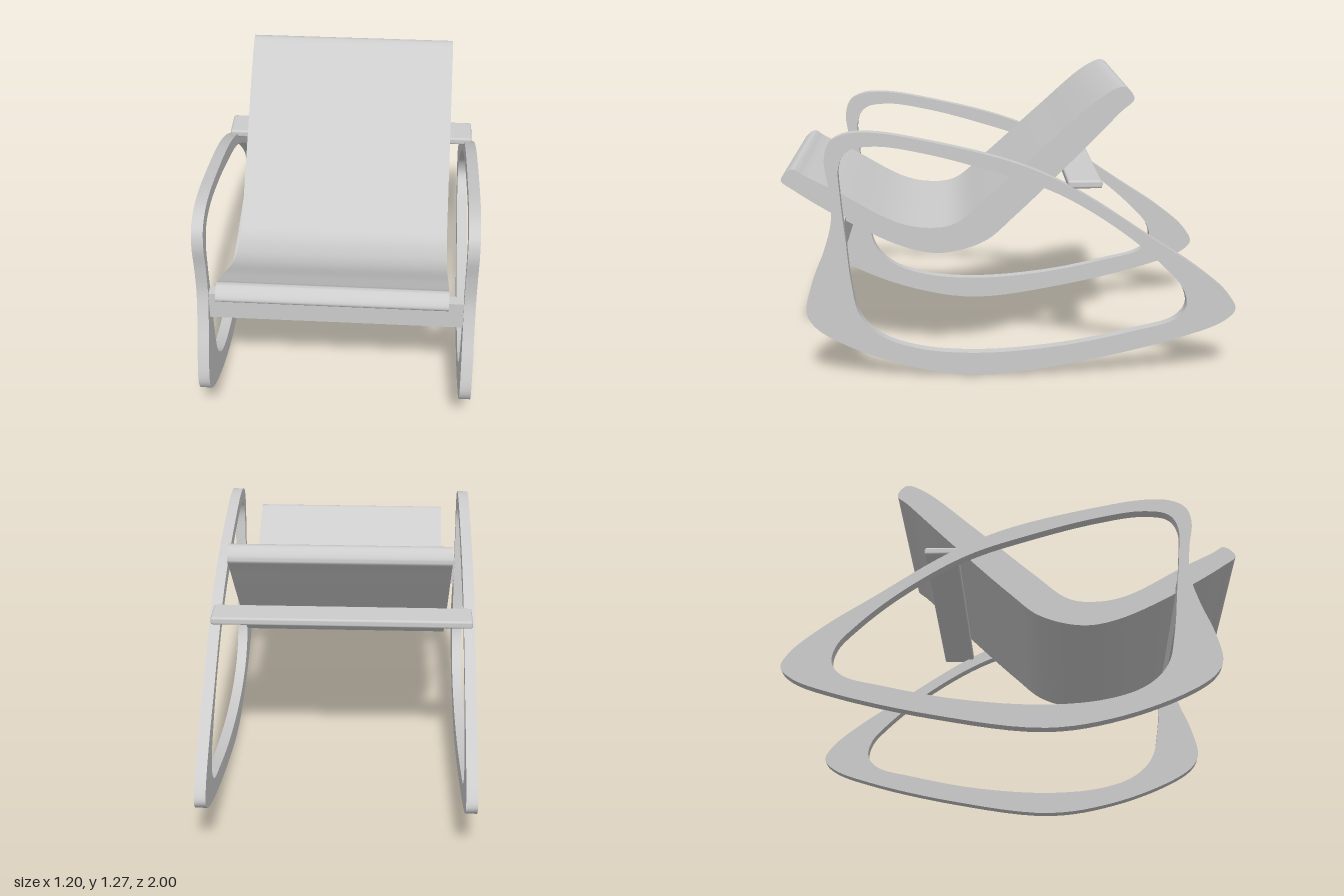
import * as THREE from 'three';
import { toCreasedNormals } from 'three/addons/utils/BufferGeometryUtils.js';
import { RoundedBoxGeometry } from 'three/addons/geometries/RoundedBoxGeometry.js';

// Closed smooth outline through [z, y] points
function smoothLoop(points, divisions) {
  const curve = new THREE.CatmullRomCurve3(
    points.map(([z, y]) => new THREE.Vector3(z, y, 0)), true, 'centripetal');
  return curve.getPoints(divisions).slice(0, -1).map(p => new THREE.Vector2(p.x, p.y));
}

// Side profile extruded across x, centred on x = 0
function extrudeAcross(shape, width) {
  const geo = new THREE.ExtrudeGeometry(shape, { depth: width, bevelEnabled: false });
  geo.translate(0, 0, -width / 2);
  geo.rotateY(-Math.PI / 2);
  return toCreasedNormals(geo, 0.7);
}

export function createModel() {
  const chair = new THREE.Group();
  chair.name = 'rockingChair';
  const grey = new THREE.MeshStandardMaterial({ color: 0xcccccc });
  grey.name = 'lightGrey';

  const add = (name, geo, x = 0, y = 0, z = 0) => {
    const mesh = new THREE.Mesh(geo, grey);
    mesh.name = name;
    mesh.position.set(x, y, z);
    chair.add(mesh);
  };

  // Side frames: rocker, front post and armrest in one continuous loop
  const outer = [
    [0.14, 0], [0.46, 0.05], [0.75, 0.16], [0.86, 0.235], [0.893, 0.30], [0.866, 0.435],
    [0.81, 0.58], [0.775, 0.715], [0.78, 0.85], [0.797, 0.98], [0.775, 1.055],
    [0.71, 1.093], [0.59, 1.10], [0.33, 1.055], [0.03, 0.98], [-0.155, 0.91],
    [-0.34, 0.81], [-0.61, 0.63], [-0.82, 0.49], [-0.965, 0.365], [-1, 0.295],
    [-0.95, 0.24], [-0.77, 0.17], [-0.34, 0.065]];
  const inner = [
    [0.14, 0.105], [0.41, 0.13], [0.57, 0.19], [0.66, 0.285], [0.695, 0.435],
    [0.715, 0.635], [0.733, 0.82], [0.735, 0.955], [0.695, 1.02], [0.58, 1.04],
    [0.38, 1.01], [0.085, 0.93], [-0.21, 0.825], [-0.50, 0.645], [-0.69, 0.48],
    [-0.765, 0.39], [-0.78, 0.31], [-0.73, 0.25], [-0.555, 0.20], [-0.235, 0.135]];
  const frame = new THREE.Shape(smoothLoop(outer, 144));
  frame.holes.push(new THREE.Path(smoothLoop(inner, 120)));
  const frameGeo = extrudeAcross(frame, 0.05);
  add('leftSideFrame', frameGeo, 0.575);
  add('rightSideFrame', frameGeo, -0.575);

  // Curved seat and backrest cushion
  const seat = [
    [0.95, 0.918], [0.90, 0.89], [0.755, 0.815], [0.51, 0.68], [0.38, 0.65], [0.245, 0.665],
    [0.085, 0.795], [-0.18, 1.035], [-0.42, 1.24], [-0.505, 1.272], [-0.545, 1.22],
    [-0.49, 1.165], [-0.29, 0.96], [-0.02, 0.695], [0.11, 0.585], [0.30, 0.533],
    [0.46, 0.56], [0.73, 0.69], [0.94, 0.82], [1, 0.87]];
  add('seatCushion', extrudeAcross(new THREE.Shape(smoothLoop(seat, 140)), 0.955));

  // Cross members joining the frames
  add('frontRail', new THREE.BoxGeometry(1.11, 0.13, 0.05), 0, 0.64, 0.745);
  add('backRail', new RoundedBoxGeometry(1.17, 0.035, 0.15, 3, 0.01), 0, 0.8625, -0.325);

  return chair;
}
